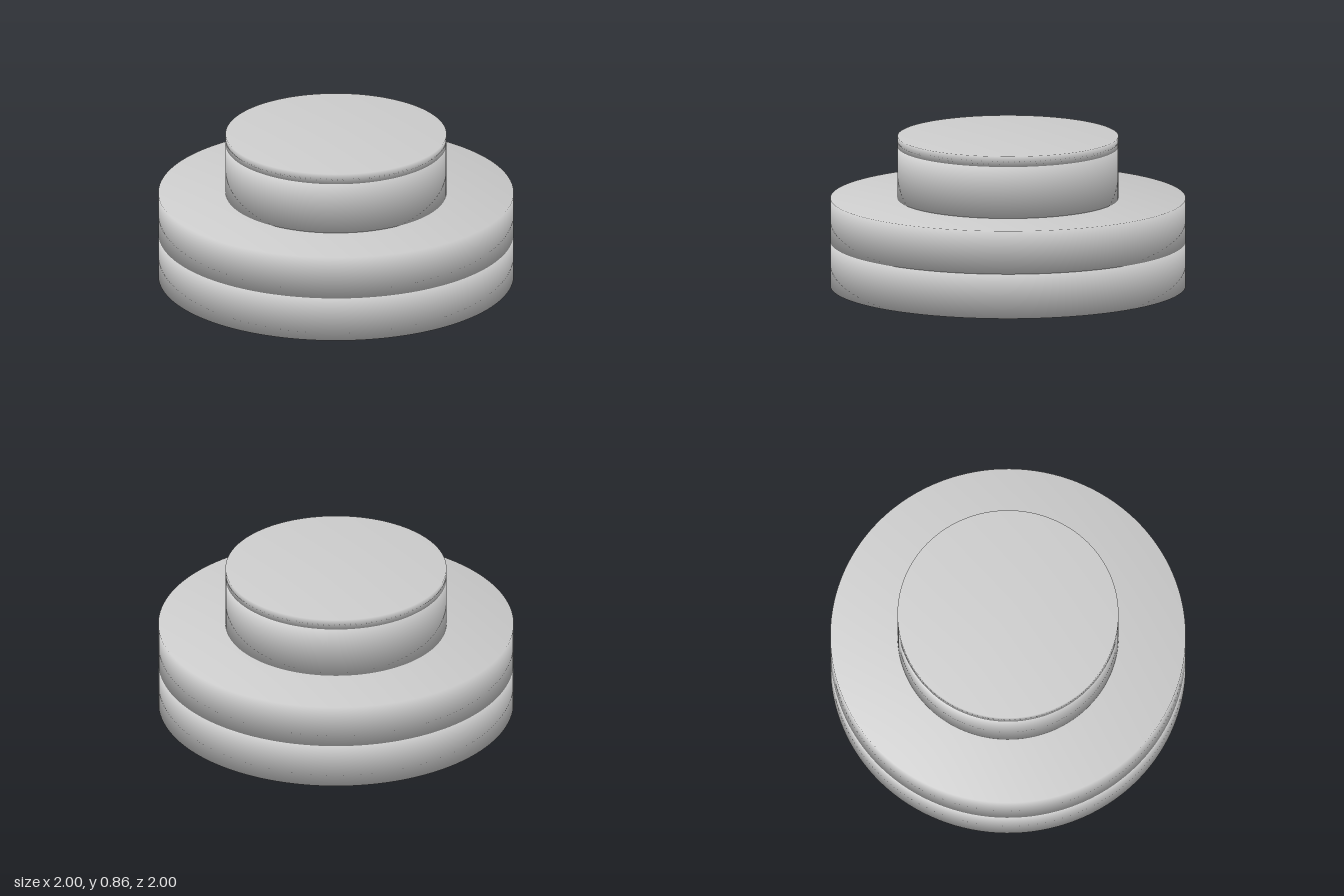
import * as THREE from 'three';

export function createModel() {
  const model = new THREE.Group();
  const grey = new THREE.MeshStandardMaterial({ color: 0xcccccc });
  grey.name = 'light grey';

  // Closed disc whose normals blend softly over the rims
  function disc(name, radius, bottom, top) {
    const profile = [
      [0, bottom], [radius, bottom], [radius, top], [0, top],
    ].map(([x, y]) => new THREE.Vector2(x, y));
    const mesh = new THREE.Mesh(new THREE.LatheGeometry(profile, 128), grey);
    mesh.name = name;
    model.add(mesh);
  }

  // Two wide base layers, a narrower drum and its thin lid
  disc('lowerBase', 1, 0, 0.255);
  disc('upperBase', 1, 0.255, 0.502);
  disc('drum', 0.622, 0.502, 0.797);
  disc('lid', 0.622, 0.797, 0.857);

  return model;
}
